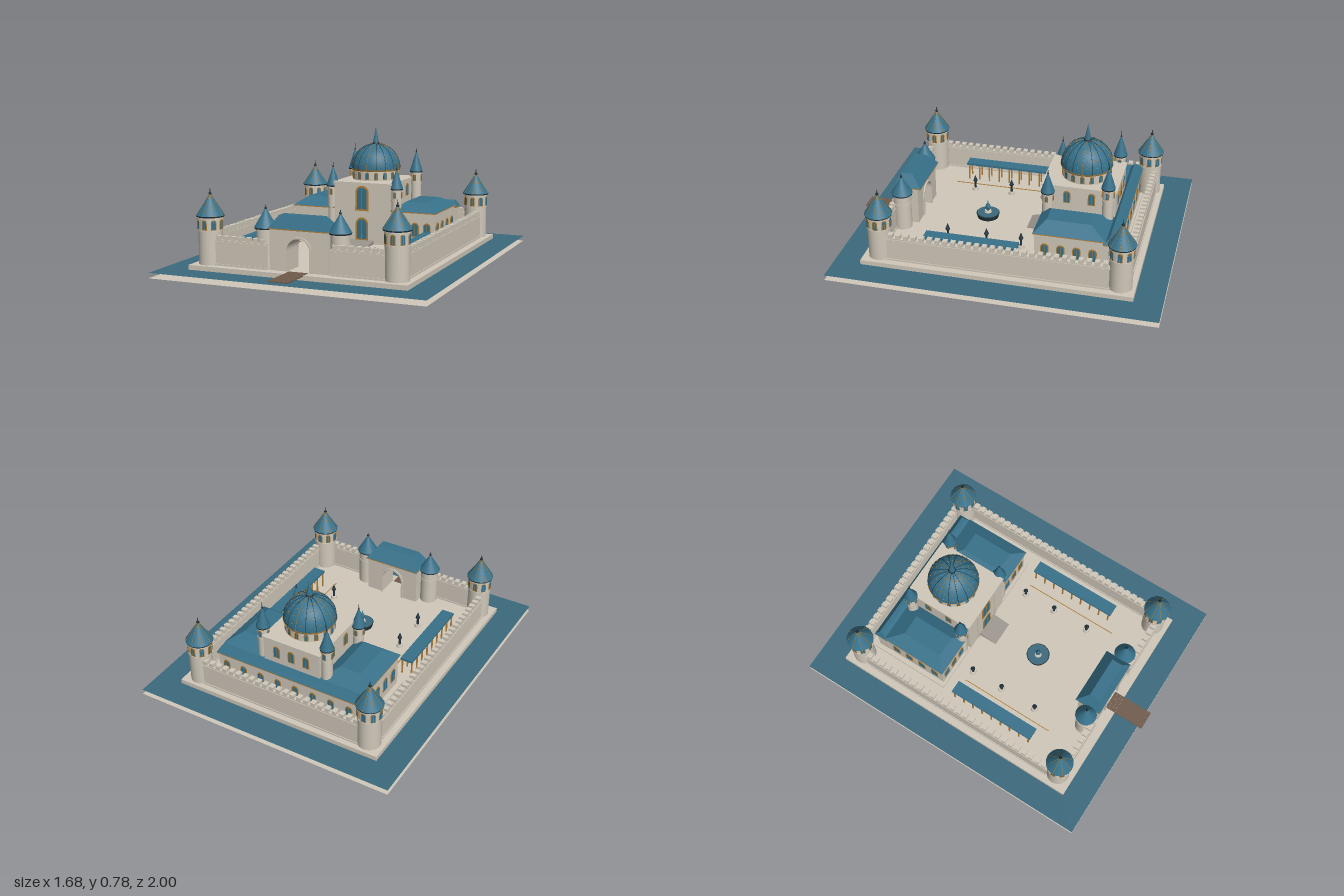
import * as THREE from 'three';

const mat = (name, color, double) => {
  const m = new THREE.MeshStandardMaterial({ color });
  m.name = name;
  if (double) m.side = THREE.DoubleSide;
  return m;
};

export function createModel() {
  const root = new THREE.Group();
  root.name = 'walledPalace';
  const stone = mat('stone', 0xd0c8ba, true);
  const blue = mat('blueTile', 0x37718a);
  const water = mat('water', 0x3b6a7d, true);
  const gold = mat('gold', 0xb4823a);
  const dark = mat('darkMetal', 0x24343c);
  const wood = mat('wood', 0x705b4b);
  const paving = mat('paving', 0x98928a);

  const add = (name, geo, m, x = 0, y = 0, z = 0, parent = root) => {
    const mesh = new THREE.Mesh(geo, m);
    mesh.name = name;
    mesh.position.set(x, y, z);
    parent.add(mesh);
    return mesh;
  };
  const group = (name, x = 0, y = 0, z = 0, parent = root) => {
    const g = new THREE.Group();
    g.name = name;
    g.position.set(x, y, z);
    parent.add(g);
    return g;
  };
  // box given by its limits
  const block = (name, x0, x1, y0, y1, z0, z1, m = stone, parent = root) =>
    add(name, new THREE.BoxGeometry(x1 - x0, y1 - y0, z1 - z0), m, (x0 + x1) / 2, (y0 + y1) / 2, (z0 + z1) / 2, parent);
  const cyl = (name, rt, rb, y0, y1, m, parent, seg = 20) =>
    add(name, new THREE.CylinderGeometry(rt, rb, y1 - y0, seg), m, 0, (y0 + y1) / 2, 0, parent);
  // hipped roof: eave rectangle [x0,x1,z0,z1], flat top rectangle
  const hip = (name, e, t, y0, y1) => {
    const g = new THREE.BoxGeometry(1, 1, 1), p = g.attributes.position;
    for (let i = 0; i < p.count; i++) {
      const up = p.getY(i) > 0, r = up ? t : e;
      p.setXYZ(i, p.getX(i) < 0 ? r[0] : r[1], up ? y1 : y0, p.getZ(i) < 0 ? r[2] : r[3]);
    }
    g.computeVertexNormals();
    block(name + 'Eave', e[0], e[1], y0 - 0.006, y0, e[2], e[3], gold);
    return add(name, g, blue);
  };
  // round-headed outline standing on y = 0
  const archPath = (w, h, P = THREE.Shape) => {
    const s = new P();
    s.moveTo(-w / 2, 0);
    s.lineTo(w / 2, 0);
    s.lineTo(w / 2, h - w / 2);
    s.absarc(0, h - w / 2, w / 2, 0, Math.PI, false);
    s.lineTo(-w / 2, 0);
    return s;
  };
  const slab = (shape, depth) => new THREE.ExtrudeGeometry(shape, { depth, bevelEnabled: false, curveSegments: 10 });
  const archWindow = (x, y, z, turn, w, h, parent = root) => {
    const g = group('archedWindow', x, y, z, parent), b = w * 0.13;
    g.rotation.y = turn;
    add('windowFrame', slab(archPath(w, h), 0.004), gold, 0, 0, 0, g);
    add('windowPane', slab(archPath(w - 2 * b, h - 2 * b), 0.002), blue, 0, b, 0.003, g);
    block('windowBar', -b / 4, b / 4, b, h - b, 0.004, 0.006, gold, g);
  };
  // ribbed cone roof with finial
  const coneRoof = (r, y0, y1, tip, parent, ribs) => {
    const roof = group('coneRoof', 0, 0, 0, parent), h = y1 - y0;
    cyl('roofEave', r, r * 0.97, y0 - 0.008, y0, dark, roof);
    cyl('roofCone', 0.004, r, y0, y1, blue, roof, 24);
    for (let i = 0; i < ribs; i++) {
      const a = (i * Math.PI * 2) / ribs, d = new THREE.Vector3(Math.sin(a), 0, Math.cos(a));
      const line = new THREE.LineCurve3(d.clone().multiplyScalar(r).setY(y0), d.clone().multiplyScalar(0.004).setY(y1));
      add('roofRib', new THREE.TubeGeometry(line, 1, 0.0016, 4), gold, 0, 0, 0, roof);
    }
    const q = r / 8;
    const prof = [[q * 0.5, y1 - h * 0.06], [q, y1 + 0.004], [q * 0.4, y1 + 0.012], [0.0005, tip]];
    add('finial', new THREE.LatheGeometry(prof.map((p) => new THREE.Vector2(...p)), 10), dark, 0, 0, 0, roof);
  };
  const tower = (name, x, z, r, top, roofR, roofTop, tip, winY, winH, wins, ribs, band) => {
    const g = group(name, x, 0, z);
    cyl('towerShaft', r, r, 0.06, top, stone, g, 24);
    for (const y of [band, top - 0.016]) cyl('towerBand', r * 1.06, r * 1.06, y - 0.004, y + 0.004, stone, g, 24);
    for (let i = 0; i < wins; i++) {
      const a = (i * 2 * Math.PI) / wins;
      archWindow(Math.sin(a) * r * 0.985, winY, Math.cos(a) * r * 0.985, a, winH * 0.5, winH, g);
    }
    coneRoof(roofR, top, roofTop, tip, g, ribs);
  };

  // ground sheet, moat and terrace
  for (const [n, y, m] of [['groundSheet', 0, stone], ['moat', 0.032, water]])
    add(n, new THREE.PlaneGeometry(1.68, 1.97), m, 0, y, -0.015).rotation.x = -Math.PI / 2;
  block('terrace', -0.675, 0.675, 0.001, 0.06, -0.83, 0.805);

  // bridge planks
  for (let i = 0; i < 12; i++)
    block('bridgePlank', -0.06, 0.06, 0.055, 0.061, 0.74 + i * 0.0217, 0.74 + i * 0.0217 + 0.021, wood);

  // curtain walls with battlements
  const wall = (x0, x1, z0, z1) => {
    block('curtainWall', x0, x1, 0.06, 0.21, z0, z1);
    block('wallPlinth', x0 - 0.005, x1 + 0.005, 0.06, 0.07, z0 - 0.005, z1 + 0.005);
    block('wallMoulding', x0 - 0.004, x1 + 0.004, 0.196, 0.202, z0 - 0.004, z1 + 0.004);
    const alongX = x1 - x0 > z1 - z0, len = alongX ? x1 - x0 : z1 - z0, n = Math.round(len / 0.047);
    for (let i = 0; i < n; i++) {
      const c = ((i + 0.5) * len) / n;
      if (alongX) block('merlon', x0 + c - 0.014, x0 + c + 0.014, 0.21, 0.234, z0, z1);
      else block('merlon', x0, x1, 0.21, 0.234, z0 + c - 0.014, z0 + c + 0.014);
    }
  };
  wall(-0.54, 0.54, -0.79, -0.755);
  for (const s of [-1, 1]) {
    wall(s * 0.611 - 0.018, s * 0.611 + 0.018, -0.68, 0.65);
    wall(s * 0.365 - 0.165, s * 0.365 + 0.165, 0.715, 0.75);
    for (const z of [-0.74, 0.708])
      tower('cornerTower', s * 0.579, z, 0.07, 0.345, 0.083, 0.468, 0.505, 0.264, 0.06, 8, 8, 0.258);
    tower('gateTower', s * 0.232, 0.683, 0.055, 0.295, 0.066, 0.4, 0.425, 0.238, 0.035, 0, 0, 0.23);
  }

  // gatehouse with open arch
  const gate = new THREE.Shape([[-0.18, 0], [-0.07, 0], [-0.07, 0.12]].map((p) => new THREE.Vector2(...p)));
  gate.absarc(0, 0.12, 0.07, Math.PI, 0, true);
  for (const p of [[0.07, 0], [0.18, 0], [0.18, 0.24], [-0.18, 0.24]]) gate.lineTo(...p);
  add('gatehouse', slab(gate, 0.14), stone, 0, 0.06, 0.6);
  const surround = archPath(0.164, 0.202);
  surround.holes.push(archPath(0.14, 0.19, THREE.Path));
  add('gateSurround', slab(surround, 0.156), stone, 0, 0.06, 0.592);
  hip('gatehouseRoof', [-0.185, 0.185, 0.58, 0.75], [-0.132, 0.132, 0.645, 0.715], 0.302, 0.375);

  // palace wings and rear range
  block('palacePlinth', -0.503, 0.503, 0.06, 0.075, -0.71, -0.19);
  block('rearRange', -0.475, 0.475, 0.06, 0.26, -0.695, -0.62);
  hip('rearRoof', [-0.485, 0.485, -0.705, -0.615], [-0.465, 0.465, -0.675, -0.65], 0.262, 0.3);
  for (let i = 0; i < 8; i++) archWindow(-0.42 + i * 0.12, 0.13, -0.695, Math.PI, 0.045, 0.09);
  for (const s of [-1, 1]) {
    const x0 = s * 0.335;
    block('wing', x0 - 0.138, x0 + 0.138, 0.06, 0.276, -0.625, -0.208);
    hip('wingRoof', [x0 - 0.15, x0 + 0.15, -0.63, -0.198], [x0 - 0.066, x0 + 0.066, -0.53, -0.265], 0.28, 0.335);
    for (let i = 0; i < 3; i++) archWindow(x0 + s * 0.015 + (i - 1) * 0.078, 0.125, -0.208, 0, 0.05, 0.09);
    for (let i = 0; i < 4; i++) archWindow(s * 0.473, 0.125, -0.27 - i * 0.095, s * Math.PI / 2, 0.05, 0.09);
    // turrets of the central hall
    tower('frontTurret', s * 0.217, -0.23, 0.033, 0.42, 0.042, 0.535, 0.57, 0.36, 0.04, 4, 0, 0.345);
    tower('rearTurret', s * 0.217, -0.593, 0.033, 0.49, 0.042, 0.61, 0.655, 0.425, 0.045, 4, 0, 0.41);
    for (const z of [-0.34, -0.49]) archWindow(s * 0.19, 0.34, z, s * Math.PI / 2, 0.044, 0.08);
    block('facadePilaster', s * 0.095 - 0.007, s * 0.095 + 0.007, 0.06, 0.44, -0.193, -0.183);
  }

  // central hall
  block('centralHall', -0.19, 0.19, 0.06, 0.445, -0.635, -0.19);
  block('hallCornice', -0.196, 0.196, 0.438, 0.45, -0.641, -0.184);
  archWindow(0, 0.08, -0.19, 0, 0.085, 0.148);
  archWindow(0, 0.27, -0.19, 0, 0.09, 0.16);
  for (const x of [-0.1, 0, 0.1]) archWindow(x, 0.325, -0.635, Math.PI, 0.044, 0.08);
  const ramp = new THREE.Shape([[0, 0], [0.12, 0], [0, 0.024]].map((p) => new THREE.Vector2(...p)));
  add('entranceRamp', slab(ramp, 0.16), paving, 0.08, 0.06, -0.19).rotation.y = -Math.PI / 2;

  // drum and dome
  const dome = group('dome', 0, 0, -0.423);
  cyl('drum', 0.148, 0.148, 0.445, 0.515, stone, dome, 40);
  cyl('drumCornice', 0.16, 0.156, 0.51, 0.52, gold, dome, 40);
  for (let i = 0; i < 16; i++) {
    const a = (i * Math.PI) / 8;
    archWindow(Math.sin(a) * 0.146, 0.456, Math.cos(a) * 0.146, a, 0.026, 0.048, dome);
  }
  add('domeShell', new THREE.SphereGeometry(0.157, 48, 16, 0, Math.PI * 2, 0, Math.PI / 2), blue, 0, 0.52, 0, dome);
  for (let i = 0; i < 8; i++) {
    const rib = new THREE.TorusGeometry(0.1575, 0.0016, 4, 32, Math.PI);
    add('domeRib', rib, i % 4 ? dark : gold, 0, 0.52, 0, dome).rotation.y = (i * Math.PI) / 8;
  }
  for (let i = 0; i < 16; i++)
    for (const e of [0.25, 0.55, 0.85, 1.12]) {
      const a = ((i + 0.5) * Math.PI) / 8, c = Math.cos(e) * 0.157;
      add('domeStud', new THREE.SphereGeometry(0.004, 6, 4), gold, Math.sin(a) * c, 0.52 + Math.sin(e) * 0.157, Math.cos(a) * c, dome);
    }
  cyl('spireCollar', 0.02, 0.026, 0.67, 0.685, dark, dome);
  cyl('spire', 0.0005, 0.019, 0.685, 0.78, blue, dome);

  // side galleries, courtyard borders and lamps
  for (const s of [-1, 1]) {
    block('galleryRoof', s * 0.48 - 0.04, s * 0.48 + 0.04, 0.165, 0.178, -0.11, 0.463, blue);
    for (let i = 0; i < 9; i++)
      for (const x of [0.448, 0.512])
        block('galleryPost', s * x - 0.004, s * x + 0.004, 0.06, 0.165, -0.1 + i * 0.068, -0.092 + i * 0.068, gold);
    block('courtBorder', s * 0.384 - 0.002, s * 0.384 + 0.002, 0.06, 0.064, -0.1, 0.52, gold);
    for (const z of [-0.09, 0.125, 0.37]) {
      const lamp = group('courtLamp', s * 0.313, 0, z);
      cyl('lampBase', 0.018, 0.021, 0.06, 0.078, stone, lamp, 12);
      cyl('lampPost', 0.006, 0.008, 0.078, 0.115, dark, lamp, 10);
      cyl('lampBowl', 0.015, 0.007, 0.115, 0.127, dark, lamp, 12);
      cyl('lampCap', 0.001, 0.014, 0.127, 0.165, dark, lamp, 12);
    }
  }

  // fountain
  const fountain = group('fountain', 0, 0, 0.2);
  cyl('fountainBasin', 0.073, 0.066, 0.06, 0.088, dark, fountain, 32);
  cyl('fountainWater', 0.068, 0.068, 0.088, 0.092, water, fountain, 32);
  cyl('fountainPlinth', 0.02, 0.024, 0.09, 0.105, stone, fountain);
  const vase = [[0.008, 0.105], [0.017, 0.122], [0.014, 0.14], [0.005, 0.155], [0.0005, 0.175]];
  add('fountainJet', new THREE.LatheGeometry(vase.map((p) => new THREE.Vector2(...p)), 14), blue, 0, 0, 0, fountain);

  return root;
}
